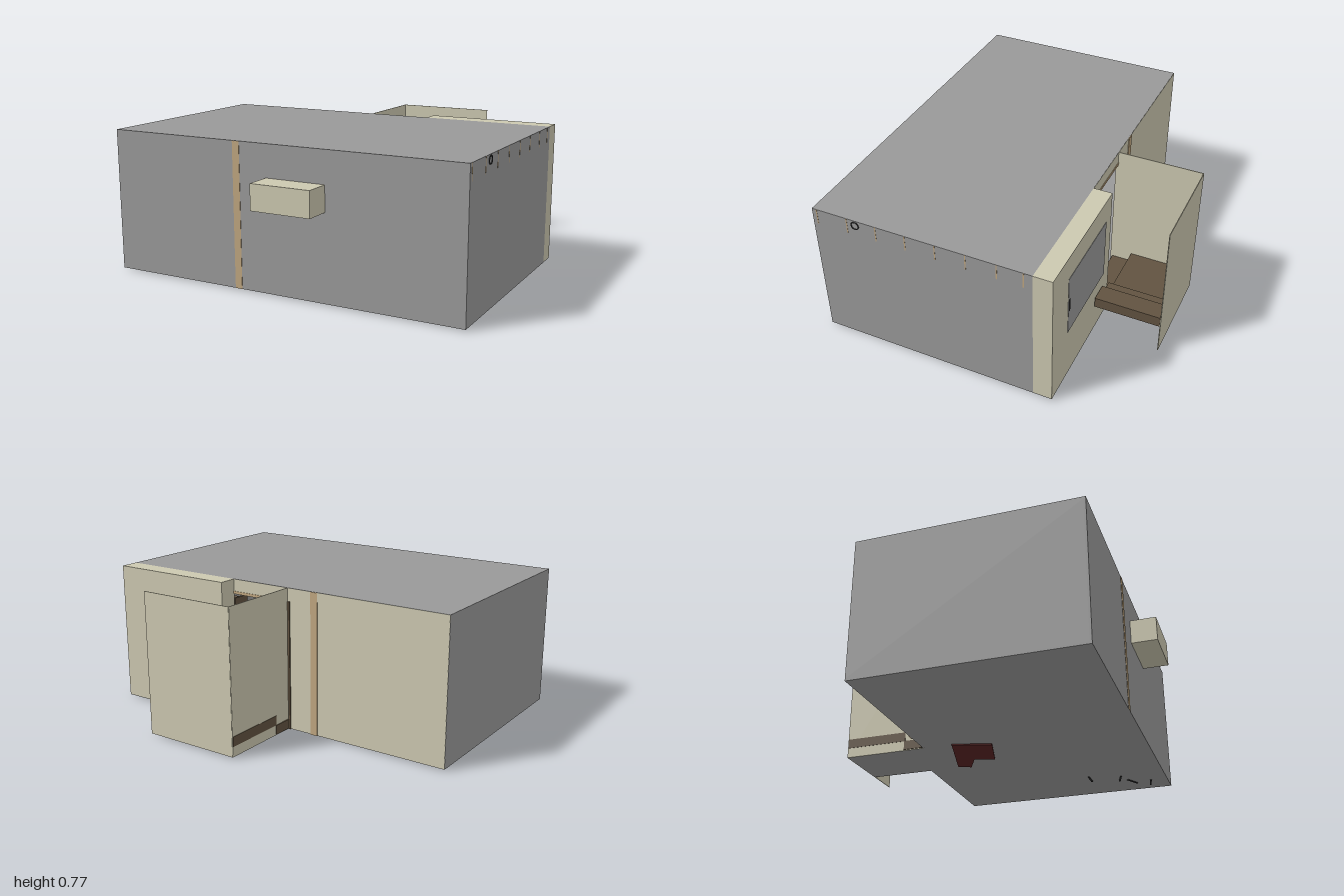
import * as THREE from 'three';

const mat = (color, side = THREE.FrontSide) =>
  new THREE.MeshStandardMaterial({ color, side, flatShading: true });

export function createModel() {
  const root = new THREE.Group();
  root.name = 'room';

  const grey = mat(0x999999);
  const beige = mat(0xccc8b0);
  const brown = mat(0x615240);
  const tan = mat(0xbfa680);
  const red = mat(0x5a2424);
  const dark = mat(0x333333);

  // Box given by its limits on each axis
  function box(name, material, [x0, x1], [y0, y1], [z0, z1], parent = root) {
    const mesh = new THREE.Mesh(new THREE.BoxGeometry(x1 - x0, y1 - y0, z1 - z0), material);
    mesh.position.set((x0 + x1) / 2, (y0 + y1) / 2, (z0 + z1) / 2);
    mesh.name = name;
    parent.add(mesh);
    return mesh;
  }

  const L = -1, R = 0.99, F = 0.745, B = -0.43, Y0 = 0.008, Y1 = 0.77, T = 0.012;
  const doorL = -0.08, doorR = 0.27, wellB = -0.89;

  // Main shell
  const shell = new THREE.Group();
  shell.name = 'shell';
  root.add(shell);
  box('floor', grey, [L, R], [Y0, Y0 + T], [B, F], shell);
  box('roof', grey, [L, R], [Y1 - T, Y1], [B, F], shell);
  const wallY = [Y0 + T, Y1 - T];
  box('frontWall', grey, [L, R], wallY, [F - T, F], shell);
  box('rightWall', grey, [L, L + T], wallY, [B, F - T], shell);
  box('leftWall', grey, [R - T, R], wallY, [B, F - T], shell);
  box('backWall', beige, [L + 0.001, doorL], [Y0 + 0.001, Y1 - 0.001], [B - 0.001, B + T], shell);
  box('doorHeader', beige, [doorL, doorR], [0.7, Y1 - 0.001], [B - 0.001, B + T], shell);

  // Window bay behind the back wall
  const bay = new THREE.Group();
  bay.name = 'windowBay';
  root.add(bay);
  box('bayFloor', grey, [doorR, R], [Y0, Y0 + 0.003], [-0.53, B], bay);
  box('bayWall', beige, [doorR, R], [Y0 + 0.003, Y1], [-0.53, B], bay);
  box('windowPane', grey, [0.34, 0.81], [0.3, 0.64], [-0.532, -0.53], bay);
  box('windowLatch', dark, [0.795, 0.805], [0.44, 0.51], [-0.535, -0.53], bay);

  // Stairwell screens: one on the right, one at the back
  const well = new THREE.Group();
  well.name = 'stairwell';
  root.add(well);
  box('wellSideWall', beige, [doorL - 0.002, doorL + 0.002], [Y0, Y1], [wellB, B], well);
  box('wellBackWall', beige, [doorL, 0.465], [Y0, Y1], [wellB - 0.002, wellB + 0.002], well);
  box('wellFloor', grey, [doorL, doorR], [Y0, Y0 + 0.003], [wellB, B], well);

  // Door step, landing and the flight rising to the left
  const stairs = new THREE.Group();
  stairs.name = 'stairs';
  root.add(stairs);
  box('doorStep', brown, [doorL - 0.007, doorR - 0.002], [0.012, 0.063], [-0.545, B], stairs);
  box('landing', brown, [doorL - 0.004, 0.262], [0.063, 0.115], [wellB + 0.003, -0.54], stairs);
  for (let i = 0; i < 2; i++) {
    const x = 0.26 + i * 0.1;
    box('stair', brown, [x, x + 0.103], [0.115 + i * 0.058, 0.173 + i * 0.058],
      [wellB + 0.003, -0.535], stairs);
  }

  // Door surround
  box('doorJamb', brown, [doorL - 0.016, doorL - 0.004], [Y0, 0.7], [B - 0.008, B + T]);
  box('doorLintel', tan, [doorL, doorR], [0.69, 0.705], [B - 0.004, B + T]);

  // Bookcase glimpsed through the doorway
  const bookcase = new THREE.Group();
  bookcase.name = 'bookcase';
  root.add(bookcase);
  for (const x of [0.28, 0.6]) box('bookcaseSide', brown, [x, x + 0.012], [0.02, 0.66], [-0.41, -0.31], bookcase);
  for (let i = 0; i < 5; i++) {
    const y = 0.03 + i * 0.15;
    box('shelf', brown, [0.28, 0.61], [y, y + 0.012], [-0.41, -0.31], bookcase);
  }

  // Posts that show on the front and back walls, tied by a beam
  box('frontPost', tan, [-0.26, -0.22], [Y0, Y1 - 0.001], [F - 0.02, F + 0.002]);
  box('backPost', tan, [-0.265, -0.225], [Y0, Y1 - 0.001], [B - 0.005, B + 0.02]);
  box('crossBeam', tan, [-0.26, -0.22], [0.68, Y1 - T], [B + 0.02, F - 0.02]);

  // Ceiling joists whose ends show on the left wall
  for (const z of [0.72, 0.55, 0.39, 0.23, 0.07, -0.09, -0.25, -0.385])
    box('joist', tan, [L + T, R + 0.001], [0.685, Y1 - 0.001], [z - 0.003, z + 0.003]);

  // Cooling unit on the front wall
  box('coolingUnit', beige, [-0.065, 0.265], [0.465, 0.6], [F, 0.886]);

  // Ring on the left wall
  const ring = new THREE.Mesh(new THREE.TorusGeometry(0.02, 0.003, 8, 24), dark);
  ring.name = 'wallRing';
  ring.rotation.y = Math.PI / 2;
  ring.position.set(R + 0.005, 0.745, 0.5);
  root.add(ring);

  // Rug base just below the floor
  const outline = [[0.19, -0.11], [-0.03, -0.05], [-0.09, -0.26], [0.24, -0.35], [0.27, -0.28], [0.155, -0.22]];
  const rugShape = new THREE.Shape(outline.map(([x, z]) => new THREE.Vector2(x, -z)));
  const rug = new THREE.Mesh(
    new THREE.ExtrudeGeometry(rugShape, { depth: 0.008, bevelEnabled: false }), red);
  rug.name = 'rugBase';
  rug.rotation.x = -Math.PI / 2;
  root.add(rug);

  // Furniture feet just below the floor
  for (const [x, z, turn] of [[0.88, 0.64, 0.2], [0.83, 0.54, -0.5], [0.76, 0.48, 0.3], [0.71, 0.31, 0]]) {
    const foot = box('furnitureFoot', dark, [-0.045, 0.045], [0.003, Y0 + 0.002], [-0.005, 0.005]);
    foot.position.x = x;
    foot.position.z = z;
    foot.rotation.y = turn;
  }
  return root;
}
